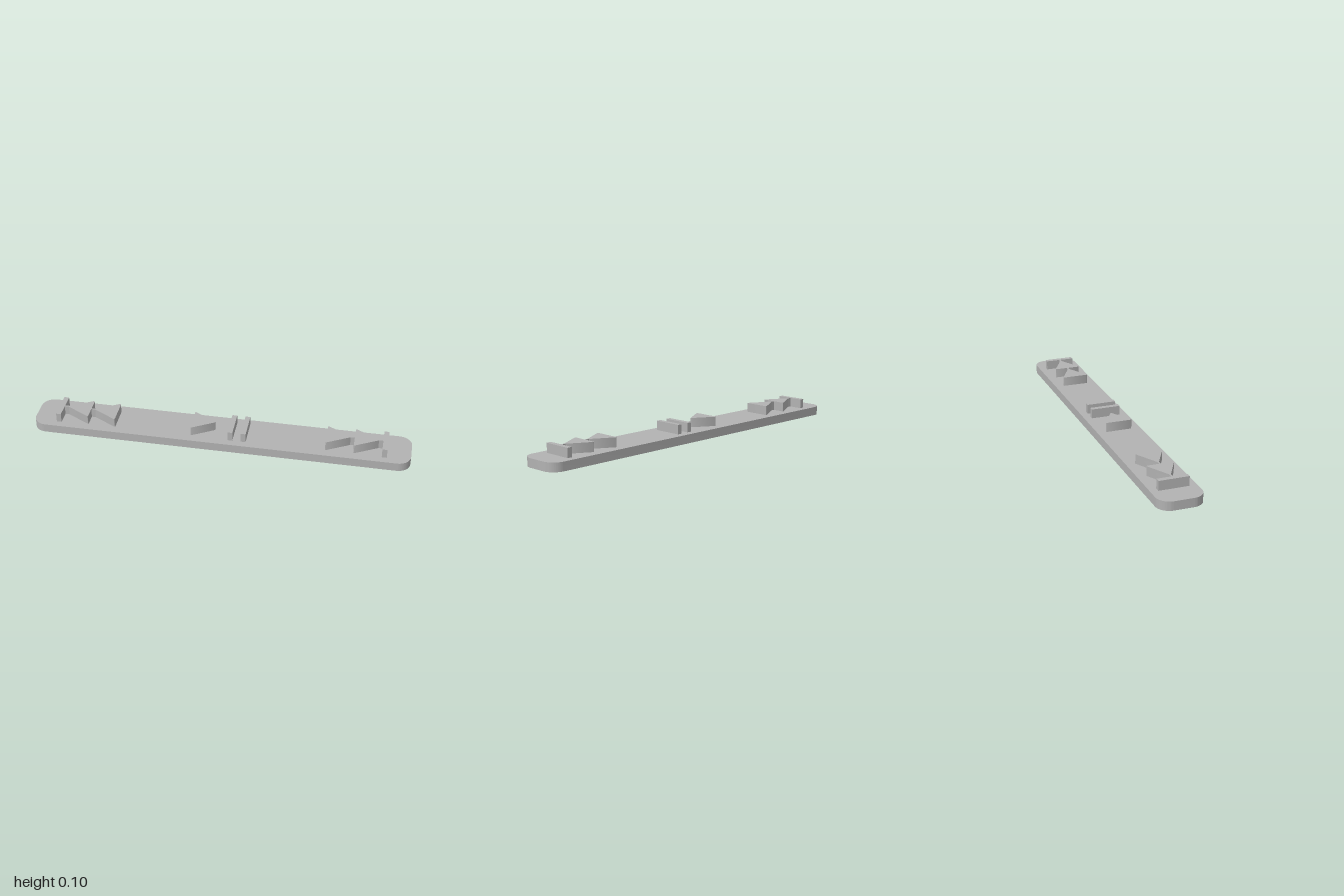
import * as THREE from 'three';
import { toCreasedNormals } from 'three/addons/utils/BufferGeometryUtils.js';

const BASE_H = 0.047, ICON_H = 0.05;

export function createModel() {
  const model = new THREE.Group();
  const grey = new THREE.MeshStandardMaterial({ color: 0xb2b2b2 });
  grey.name = 'grey plastic';

  // Extrude a plan outline upwards from height y
  function slab(name, shape, height, y, x = 0, parent = model) {
    const geo = new THREE.ExtrudeGeometry(shape, { depth: height, bevelEnabled: false, curveSegments: 10 });
    geo.rotateX(-Math.PI / 2);
    const mesh = new THREE.Mesh(toCreasedNormals(geo, 0.6), grey);
    mesh.name = name;
    mesh.position.set(x, y, 0);
    parent.add(mesh);
  }

  // Polygon outline with softened corners
  function rounded(points, r) {
    const p = points.map(([x, y]) => new THREE.Vector2(x, y));
    const shape = new THREE.Shape();
    p.forEach((c, i) => {
      const prev = p[(i + p.length - 1) % p.length], next = p[(i + 1) % p.length];
      const a = c.clone().add(prev.clone().sub(c).setLength(r));
      const b = c.clone().add(next.clone().sub(c).setLength(r));
      if (i === 0) shape.moveTo(a.x, a.y); else shape.lineTo(a.x, a.y);
      shape.quadraticCurveTo(c.x, c.y, b.x, b.y);
    });
    shape.closePath();
    return shape;
  }

  function bar(name, x, parent) {
    const mesh = new THREE.Mesh(new THREE.BoxGeometry(0.026, ICON_H, 0.156), grey);
    mesh.name = name;
    mesh.position.set(x, BASE_H + ICON_H / 2, 0);
    parent.add(mesh);
  }

  // Base plate with circular corner arcs
  const w = 1, d = 0.117, r = 0.068;
  const plate = new THREE.Shape();
  plate.absarc(w - r, d - r, r, 0, Math.PI / 2);
  plate.absarc(-w + r, d - r, r, Math.PI / 2, Math.PI);
  plate.absarc(-w + r, -d + r, r, Math.PI, Math.PI * 1.5);
  plate.absarc(w - r, -d + r, r, Math.PI * 1.5, Math.PI * 2);
  plate.closePath();
  slab('basePlate', plate, BASE_H, 0);

  // Play triangle and pause bars
  const playShape = rounded([[0, -0.073], [0.125, 0], [0, 0.073]], 0.011);
  slab('playTriangle', playShape, ICON_H, BASE_H, -0.151);
  bar('pauseBarInner', 0.061, model);
  bar('pauseBarOuter', 0.131, model);

  // Skip symbols: two arrowheads joined by narrow necks, and an end bar
  for (const side of [1, -1]) {
    const skip = new THREE.Group();
    skip.name = side > 0 ? 'skipForward' : 'skipBack';
    const head = rounded([[0, -0.073], [0.132, 0], [0, 0.073]], 0.011);
    for (const x of [0.558, 0.704]) {
      slab('arrowhead', head, ICON_H, BASE_H, x, skip);
      const neck = new THREE.Mesh(new THREE.BoxGeometry(0.026, ICON_H, 0.008), grey);
      neck.name = 'arrowNeck';
      neck.position.set(x + 0.136, BASE_H + ICON_H / 2, 0);
      skip.add(neck);
    }
    bar('endBar', 0.864, skip);
    if (side < 0) skip.rotation.y = Math.PI;
    model.add(skip);
  }
  return model;
}
